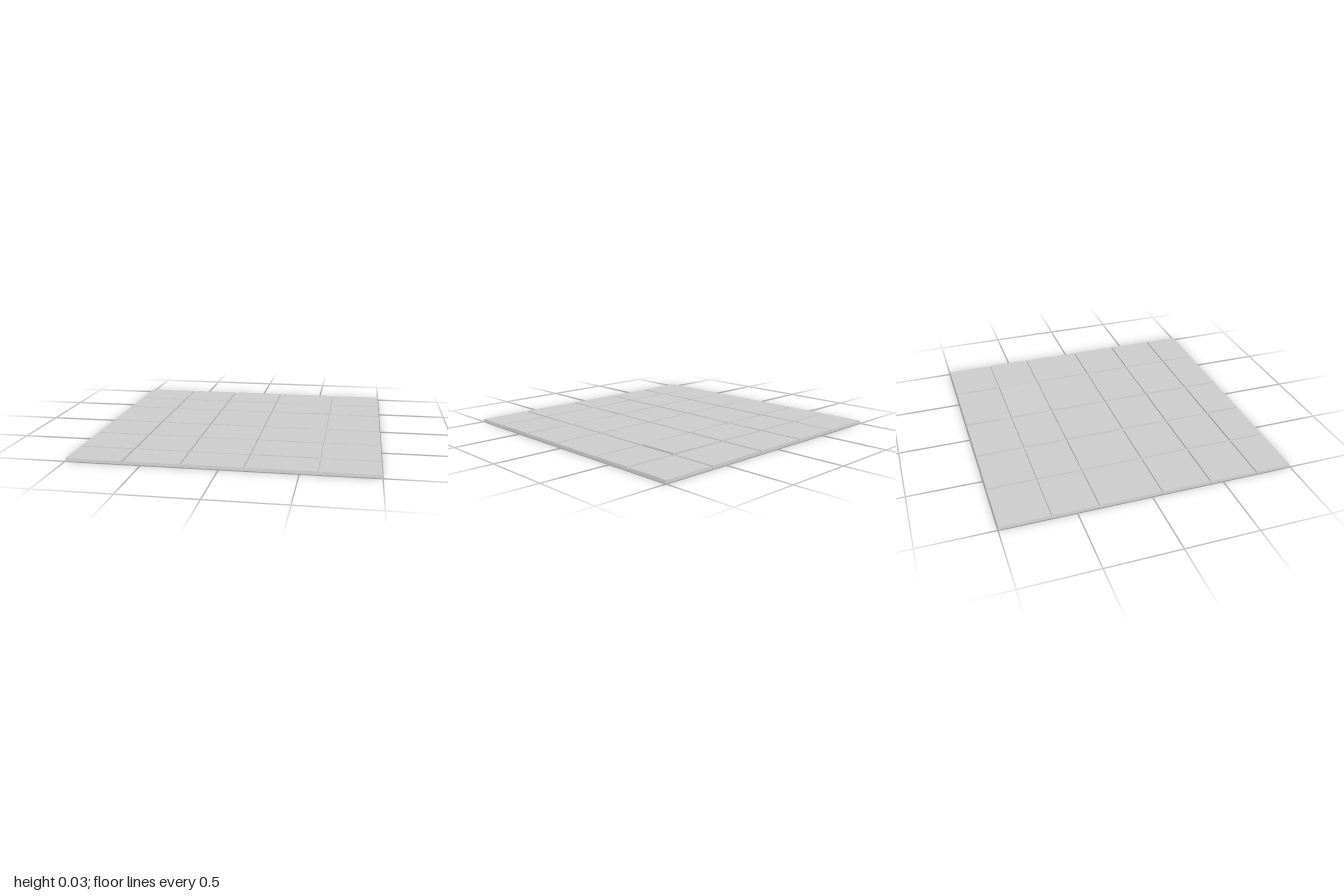
import * as THREE from 'three';

const xLines = [-1, -0.617, -0.24, 0.165, 0.622, 1];
const zLines = [-1, -0.67, -0.36, 0.065, 0.405, 0.738, 1];
const gap = 0.012, bevel = 0.003, bedTop = 0.011, tileTop = 0.022;

// Repeatable random value in -1..1
let seed = 7;
function wobble() {
  seed = (seed * 16807) % 2147483647;
  return (seed / 2147483647) * 2 - 1;
}

// A slab with bevelled sides and a slightly tilted top
function tileGeometry(w, d, tiltX, tiltZ, rise) {
  const bottom = 0.004;
  const geometry = new THREE.BoxGeometry(w, 1, d);
  const p = geometry.attributes.position;
  for (let i = 0; i < p.count; i++) {
    const sx = Math.sign(p.getX(i)), sz = Math.sign(p.getZ(i));
    if (p.getY(i) > 0) {
      p.setXYZ(i, sx * (w / 2 - bevel), tileTop + rise + sx * tiltX + sz * tiltZ, sz * (d / 2 - bevel));
    } else {
      p.setY(i, bottom);
    }
  }
  geometry.computeVertexNormals();
  return geometry;
}

export function createModel() {
  const model = new THREE.Group();
  model.name = 'tiledFloor';
  const material = new THREE.MeshStandardMaterial({ color: 0xcccccc, flatShading: true });

  // Mortar bed under the tiles
  const bed = new THREE.Mesh(new THREE.BoxGeometry(1.994, bedTop, 1.994), material);
  bed.name = 'mortarBed';
  bed.position.y = bedTop / 2;
  model.add(bed);

  // Uneven stone tiles, flush with the outer edges of the floor
  const tiles = new THREE.Group();
  tiles.name = 'tiles';
  const columns = xLines.length - 1, rows = zLines.length - 1;
  for (let c = 0; c < columns; c++) {
    for (let r = 0; r < rows; r++) {
      const x0 = xLines[c] + (c > 0 ? gap / 2 : 0);
      const x1 = xLines[c + 1] - (c < columns - 1 ? gap / 2 : 0);
      const z0 = zLines[r] + (r > 0 ? gap / 2 : 0);
      const z1 = zLines[r + 1] - (r < rows - 1 ? gap / 2 : 0);
      // One tile is lifted along its left side
      const raised = c === 3 && r === 1;
      const tiltX = raised ? 0.003 : wobble() * 0.001;
      const tiltZ = raised ? 0 : wobble() * 0.001;
      const rise = raised ? 0.003 : wobble() * 0.0006;
      const tile = new THREE.Mesh(tileGeometry(x1 - x0, z1 - z0, tiltX, tiltZ, rise), material);
      tile.name = `tile_${c + 1}_${r + 1}`;
      tile.position.set((x0 + x1) / 2, 0, (z0 + z1) / 2);
      tiles.add(tile);
    }
  }
  model.add(tiles);
  return model;
}
